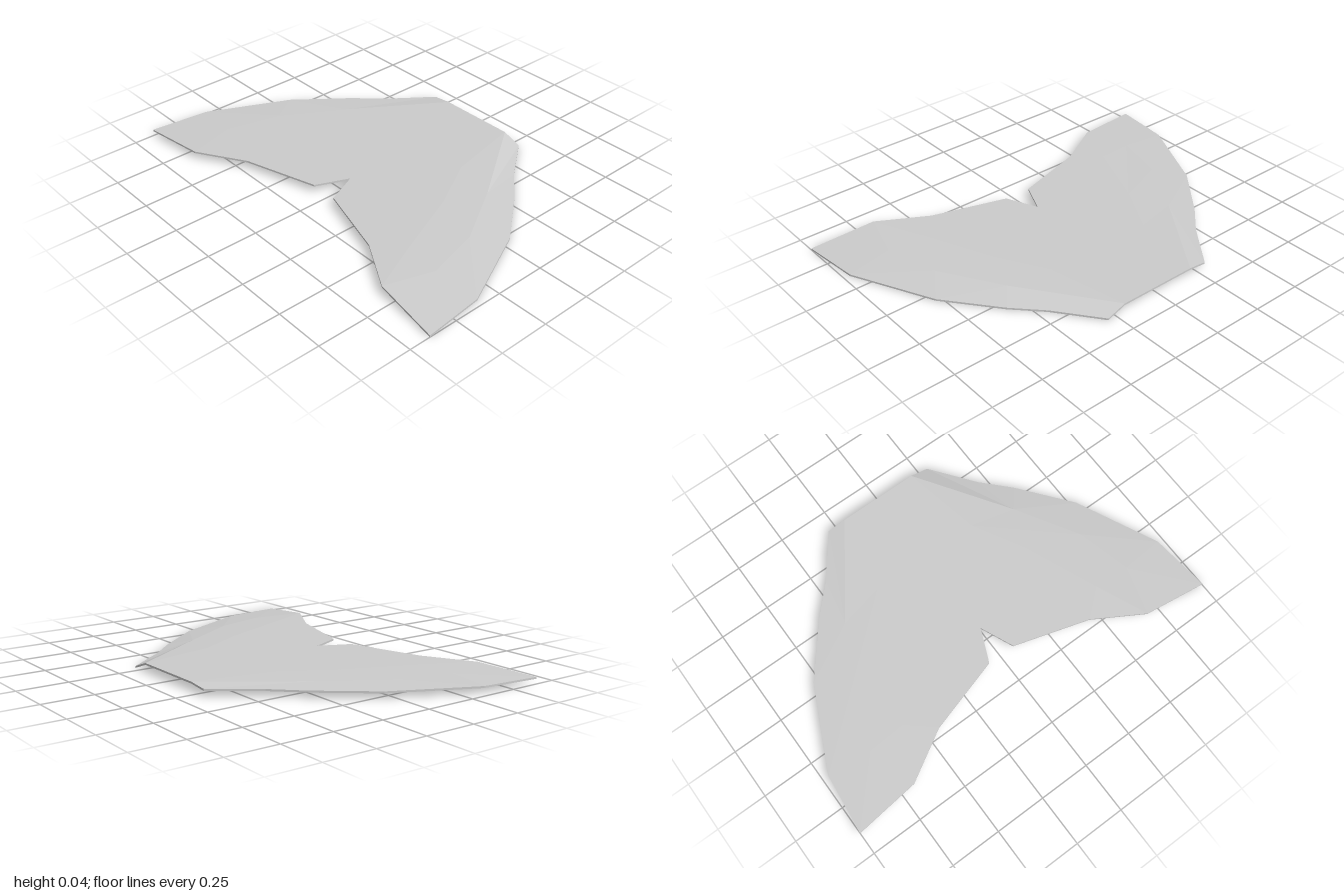
import * as THREE from 'three';

const THICK = 0.009;
const CREST = 0.044;

// Half-plan rows, each point [x, z], running from the root edge to the trailing side
const INNER = [[0.64, 0.2], [0.25, 0.28], [0.25, 0.28], [0, 0.42], [-0.36, 0.57], [-0.47, 0.44]];
const MIDDLE = [[0.64, 0.295], [0.2, 0.5], [0.2, 0.5], [-0.1, 0.68], [-0.37, 0.75], [-0.61, 0.68]];
const RIM = [[0.64, 0.295], [0.43, 0.455], [0.3, 0.58], [0.05, 0.78], [-0.35, 0.97], [-0.645, 1]];
const NOTCH = [[-0.36, 0.07], [-0.2, 0]];

// Place a row on one side (+1 or -1) at the given height
const place = (row, side, y) => row.map(([x, z], i) =>
  new THREE.Vector3(x, typeof y === 'function' ? y(i) : y, z * side));

// Thin slab from upper-surface triangles and the open borders that need a wall
function slab(name, triangles, borders, material) {
  const pos = [];
  const add = (a, b, c) => {
    const n = b.clone().sub(a).cross(c.clone().sub(a));
    if (n.lengthSq() > 1e-14) pos.push(...a.toArray(), ...b.toArray(), ...c.toArray());
  };
  const drop = (p) => new THREE.Vector3(p.x, p.y - THICK, p.z);
  for (const [a, b, c] of triangles) {
    const up = b.clone().sub(a).cross(c.clone().sub(a)).y > 0;
    const [p, q, r] = up ? [a, b, c] : [a, c, b];
    add(p, q, r);
    add(drop(p), drop(r), drop(q));
  }
  for (const line of borders) {
    for (let i = 0; i + 1 < line.length; i++) {
      const a = line[i], b = line[i + 1];
      add(a, drop(a), drop(b));
      add(a, drop(b), b);
    }
  }
  const geometry = new THREE.BufferGeometry();
  geometry.setAttribute('position', new THREE.Float32BufferAttribute(pos, 3));
  geometry.computeVertexNormals();
  const mesh = new THREE.Mesh(geometry, material);
  mesh.name = name;
  return mesh;
}

// Triangles between two rows of equal length
function band(a, b) {
  const out = [];
  for (let i = 0; i + 1 < a.length; i++) {
    out.push([a[i], b[i], b[i + 1]], [a[i], b[i + 1], a[i + 1]]);
  }
  return out;
}

export function createModel() {
  const group = new THREE.Group();
  group.name = 'tailFluke';
  const material = new THREE.MeshStandardMaterial({
    color: 0xcccccc, flatShading: true, side: THREE.DoubleSide,
  });

  // Flat centre with the notch in its trailing edge
  const unique = INNER.filter((_, i) => i !== 2);
  const half = [...unique, NOTCH[0]];
  const outline = [
    ...place(half, 1, CREST),
    ...place([NOTCH[1]], 1, CREST),
    ...place(half, -1, CREST).reverse(),
  ];
  const flat = outline.map((p) => new THREE.Vector2(p.x, p.z));
  const faces = THREE.ShapeUtils.triangulateShape(flat, []);
  const n = unique.length;
  group.add(slab('centrePlate', faces.map((f) => f.map((i) => outline[i])), [
    outline.slice(n - 1, n + 4),
    [outline[outline.length - 1], outline[0]],
  ], material));

  // Sloping lobes; the two sides droop by different amounts
  const lobes = [
    { name: 'frontLobe', side: 1, mid: 0.034, rim: 0.01 },
    { name: 'backLobe', side: -1, mid: 0.041, rim: 0.034 },
  ];
  for (const { name, side, mid, rim } of lobes) {
    const inner = place(INNER, side, CREST);
    const middle = place(MIDDLE, side, (i) => (i === 0 ? rim : i === 5 ? 0.042 : mid));
    const edge = place(RIM, side, rim);
    const border = [inner[0], ...edge, middle[5], inner[5]];
    group.add(slab(name, [...band(inner, middle), ...band(middle, edge)],
      [side > 0 ? border : border.reverse()], material));
  }
  return group;
}
